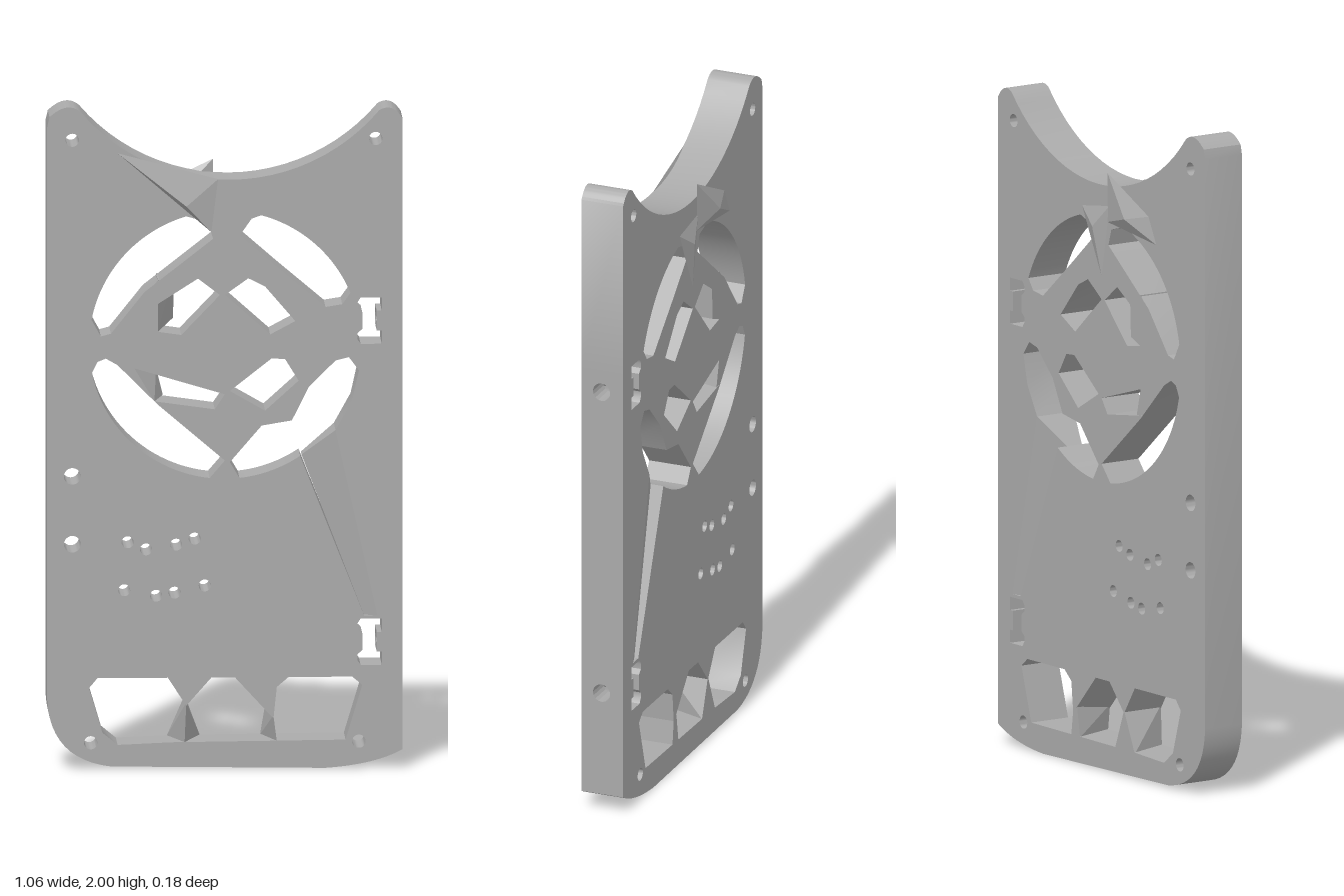
import * as THREE from 'three';
import { toCreasedNormals } from 'three/addons/utils/BufferGeometryUtils.js';
import { ConvexGeometry } from 'three/addons/geometries/ConvexGeometry.js';

const F = 0.07, B = -0.065; // front and back faces of the plate
const SLOTS = [0.38, 1.35]; // middle height of each edge slot
const RING = { y: 1.28, r: 0.405 }; // circle that bounds the crescents

function addHole(shape, x, y, r) {
  const path = new THREE.Path();
  path.absarc(x, y, r, 0, Math.PI * 2, true);
  shape.holes.push(path);
}

// straight-sided opening
function addOpening(shape, points) {
  shape.holes.push(new THREE.Path(points.map(([x, y]) => new THREE.Vector2(x, y))));
}

// opening with an arc of the ring outside, closed by a few inner points
function addCrescent(shape, from, to, inner) {
  const path = new THREE.Path();
  path.absarc(0, RING.y, RING.r, from, to, false);
  inner.forEach(([x, y]) => path.lineTo(x, y));
  path.closePath();
  shape.holes.push(path);
}

// plate outline: rounded lower corners, slots in the right edge, horns and a curved top
function plateOutline() {
  const s = new THREE.Shape();
  s.moveTo(-0.53, 0.21);
  s.quadraticCurveTo(-0.52, 0.03, -0.34, 0.008);
  s.lineTo(0.3, 0);
  s.quadraticCurveTo(0.45, 0.01, 0.53, 0.055);
  for (const y of SLOTS) {
    // I-shaped slot, mirrored about its middle
    const half = [[0.53, 0.07], [0.405, 0.07], [0.395, 0.055], [0.395, 0.038], [0.41, 0.025]];
    half.forEach(([x, d]) => s.lineTo(x, y - d));
    half.reverse().forEach(([x, d]) => s.lineTo(x, y + d));
  }
  s.lineTo(0.53, 1.96);
  s.quadraticCurveTo(0.5, 2.01, 0.46, 1.985);
  s.absarc(0.015, 2.36, 0.582, -0.7, -2.44, true);
  s.quadraticCurveTo(-0.47, 2.02, -0.523, 1.97);
  s.lineTo(-0.53, 1.94);
  s.closePath();
  return s;
}

export function createModel() {
  const group = new THREE.Group();
  const grey = new THREE.MeshStandardMaterial({ color: 0xaaaaaa });
  grey.name = 'grey';

  const add = (name, geometry) => {
    const mesh = new THREE.Mesh(geometry, grey);
    mesh.name = name;
    group.add(mesh);
  };
  // solid faceted piece spanned by a few corners
  const facet = (name, corners) =>
    add(name, new ConvexGeometry(corners.map((c) => new THREE.Vector3(...c))));
  // slanted wall: full depth along the hinge, spreading out at the back
  const slant = (name, hinge, spread) => facet(name, [
    ...hinge.flatMap(([x, y]) => [[x, y, F], [x, y, B]]),
    ...spread.map(([x, y]) => [x, y, B]),
  ]);
  // low ridge: a base on one face and a peak standing out from it
  const ridge = (name, base, z, peak) =>
    facet(name, [...base.map(([x, y]) => [x, y, z]), [peak[0], peak[1], z / 2], peak]);

  const outline = plateOutline();

  // crescents; the lower right one runs into the long tapering groove
  addCrescent(outline, 1.86, 2.95, [[-0.37, 1.307], [-0.34, 1.315], [-0.24, 1.44], [-0.035, 1.6], [-0.05, 1.65]]);
  addCrescent(outline, 0.39, 1.3, [[0.08, 1.66], [0.045, 1.61], [0.16, 1.51], [0.3, 1.392], [0.35, 1.4]]);
  addCrescent(outline, 3.35, 4.6, [[0, 0.93], [-0.2, 1.1], [-0.32, 1.22], [-0.355, 1.24], [-0.38, 1.23]]);
  addCrescent(outline, 4.82, 5.3, [[0.415, 0.46], [0.455, 0.46], [0.33, 1.02], [0.38, 1.11],
    [0.4, 1.2], [0.37, 1.24], [0.33, 1.23], [0.25, 1.15], [0.2, 1.05], [0.11, 1.035], [0.015, 0.925]]);

  // four openings of the middle diamond
  addOpening(outline, [[-0.2, 1.475], [-0.08, 1.48], [-0.015, 1.43], [-0.13, 1.31], [-0.2, 1.32]]);
  addOpening(outline, [[0, 1.43], [0.07, 1.48], [0.12, 1.455], [0.21, 1.35], [0.135, 1.31]]);
  addOpening(outline, [[-0.27, 1.21], [0, 1.13], [-0.03, 1.085], [-0.21, 1.11]]);
  addOpening(outline, [[0.015, 1.14], [0.14, 1.238], [0.18, 1.235], [0.22, 1.17], [0.12, 1.08]]);

  // bottom window with two hanging tongues
  addOpening(outline, [[-0.405, 0.245], [-0.38, 0.275], [-0.17, 0.275], [-0.115, 0.19],
    [-0.04, 0.275], [0.03, 0.275], [0.145, 0.15], [0.155, 0.245], [0.19, 0.275], [0.38, 0.275],
    [0.41, 0.25], [0.36, 0.085], [-0.16, 0.08], [-0.32, 0.073], [-0.365, 0.11]]);

  // screw holes and small vent holes
  [[-0.455, 1.9], [0.45, 1.9], [-0.4, 0.08], [0.4, 0.08]].forEach((p) => addHole(outline, ...p, 0.02));
  [0.885, 0.68].forEach((y) => addHole(outline, -0.455, y, 0.025));
  [[-0.29, 0.685], [-0.235, 0.663], [-0.145, 0.677], [-0.09, 0.695],
    [-0.3, 0.54], [-0.205, 0.523], [-0.15, 0.532], [-0.06, 0.553]].forEach((p) => addHole(outline, ...p, 0.018));

  const plate = new THREE.ExtrudeGeometry(outline, { depth: F - B, bevelEnabled: false, curveSegments: 12 });
  plate.translate(0, 0, B);
  add('plate', toCreasedNormals(plate, 0.6));

  // outer slot walls, pierced by a sideways pin hole
  const pinWall = (name, x0, x1, y, half) => {
    const wall = new THREE.Shape();
    wall.moveTo(-F, y - half).lineTo(-B, y - half).lineTo(-B, y + half).lineTo(-F, y + half);
    addHole(wall, -0.005, y, 0.028);
    const geometry = new THREE.ExtrudeGeometry(wall, { depth: x1 - x0, bevelEnabled: false, curveSegments: 8 });
    add(name, geometry.rotateY(Math.PI / 2).translate(x0, 0, 0));
  };
  SLOTS.forEach((y) => {
    pinWall('slotWall', 0.468, 0.53, y, 0.07);
    pinWall('slotWaist', 0.453, 0.468, y, 0.03);
  });

  // sloping floor of the long groove, open to both faces
  facet('grooveFloor', [F, B].flatMap((z) => [[0.23, 0.94, z * 0.4], [0.26, 0.94, z * 0.3],
    [0.33, 1.02, z], [0.455, 0.46, z], [0.415, 0.46, z * 0.8]]));

  // slanted dividers in the bottom window
  slant('leftDivider', [[-0.115, 0.2], [-0.12, 0.08]], [[-0.17, 0.075], [-0.07, 0.08]]);
  slant('rightDivider', [[0.145, 0.16], [0.155, 0.08]], [[0.125, 0.17], [0.11, 0.08]]);

  // slanted walls inside the diamond openings
  slant('upperSlant', [[-0.2, 1.475], [-0.2, 1.32]], [[-0.145, 1.477], [-0.15, 1.34]]);
  slant('lowerSlant', [[-0.27, 1.21], [-0.21, 1.11]], [[-0.2, 1.19], [-0.18, 1.108]]);

  // shallow faceted ridges standing out from both faces
  ridge('frontRidge', [[-0.32, 1.86], [-0.02, 1.78], [-0.04, 1.62]], F, [-0.115, 1.7, 0.087]);
  ridge('backRidge', [[-0.28, 1.64], [-0.24, 1.72], [-0.03, 1.82], [-0.03, 1.67]], B, [-0.15, 1.7, -0.09]);
  ridge('backSpur', [[-0.04, 1.72], [0.1, 1.7], [0.04, 1.6], [0, 1.5]], B, [0.025, 1.65, -0.082]);

  return group;
}
